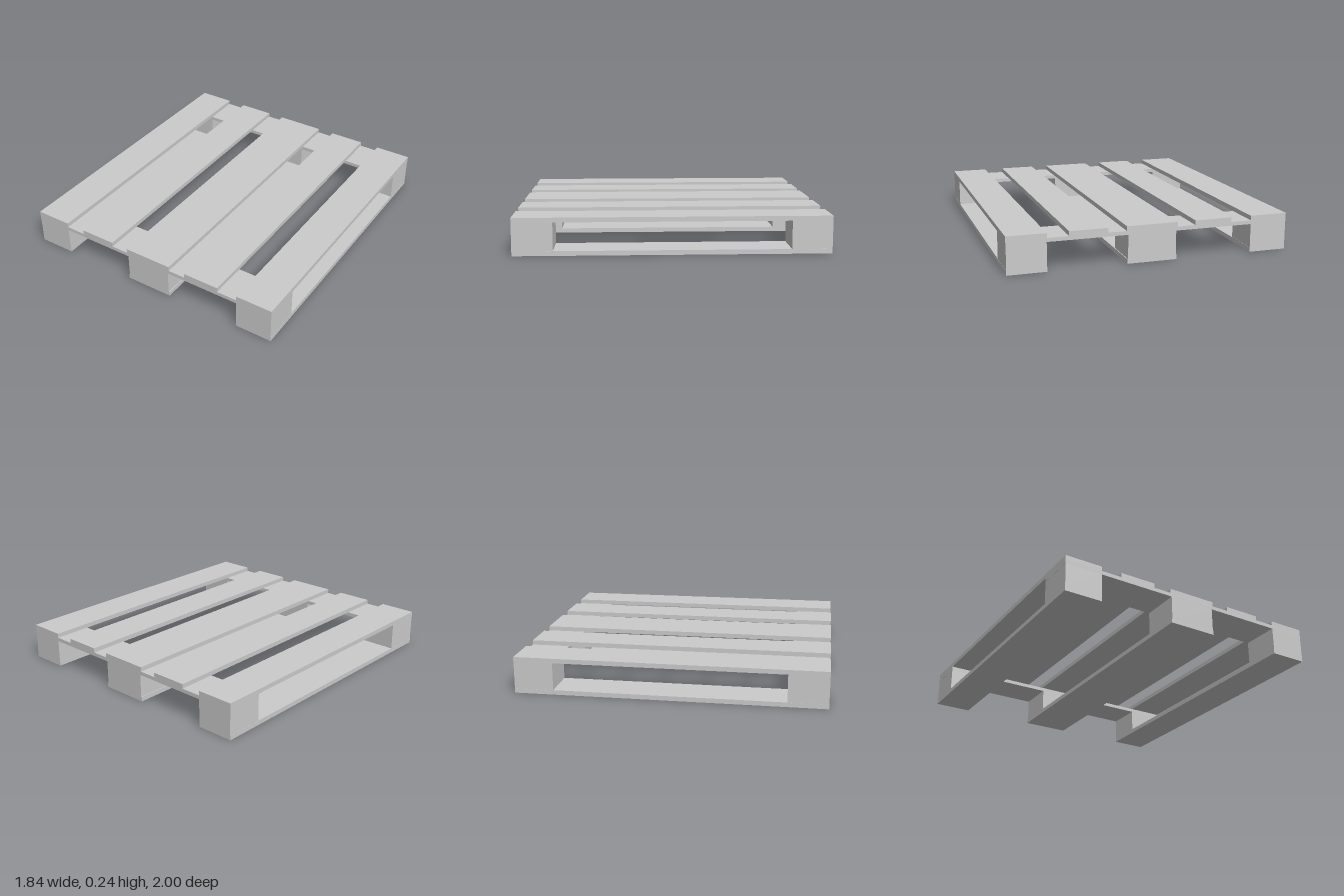
import * as THREE from 'three';

const material = new THREE.MeshStandardMaterial({ color: 0xcccccc, flatShading: true });

// Box spanning x0..x1, y0..y1, z0..z1
function board(name, [x0, x1], [y0, y1], [z0, z1]) {
  const mesh = new THREE.Mesh(new THREE.BoxGeometry(x1 - x0, y1 - y0, z1 - z0), material);
  mesh.position.set((x0 + x1) / 2, (y0 + y1) / 2, (z0 + z1) / 2);
  mesh.name = name;
  return mesh;
}

const span = (centre, width) => [centre - width / 2, centre + width / 2];

export function createModel() {
  const pallet = new THREE.Group();
  pallet.name = 'pallet';

  const bottom = 0.03;      // top of the runners
  const blockTop = 0.185;   // underside of the cross boards
  const deck = 0.21;        // underside of the deck boards
  const top = 0.24;
  const length = [-1, 1];
  const ends = [['front', [0.745, 1]], ['back', [-1, -0.745]]];

  // Deck boards: [centre x, width]
  const deckBoards = [[-0.795, 0.25], [-0.41, 0.246], [0, 0.334], [0.41, 0.246], [0.795, 0.25]];
  for (const [x, w] of deckBoards) {
    pallet.add(board('deckBoard', span(x, w), [deck, top], length));
  }

  // Runners along the floor, each carrying a block at both ends
  const runners = [[-0.795, 0.25, 0.248], [0, 0.326, 0.316], [0.795, 0.25, 0.248]];
  for (const [x, w, blockWidth] of runners) {
    pallet.add(board('bottomRunner', span(x, w), [0, bottom], length));
    for (const [end, z] of ends) {
      pallet.add(board(end + 'Block', span(x, blockWidth), [bottom, blockTop], z));
    }
  }

  // Cross boards tying the blocks together beneath the deck
  for (const [end, z] of ends) {
    pallet.add(board(end + 'CrossBoard', [-0.92, 0.92], [blockTop, deck], z));
  }

  return pallet;
}
